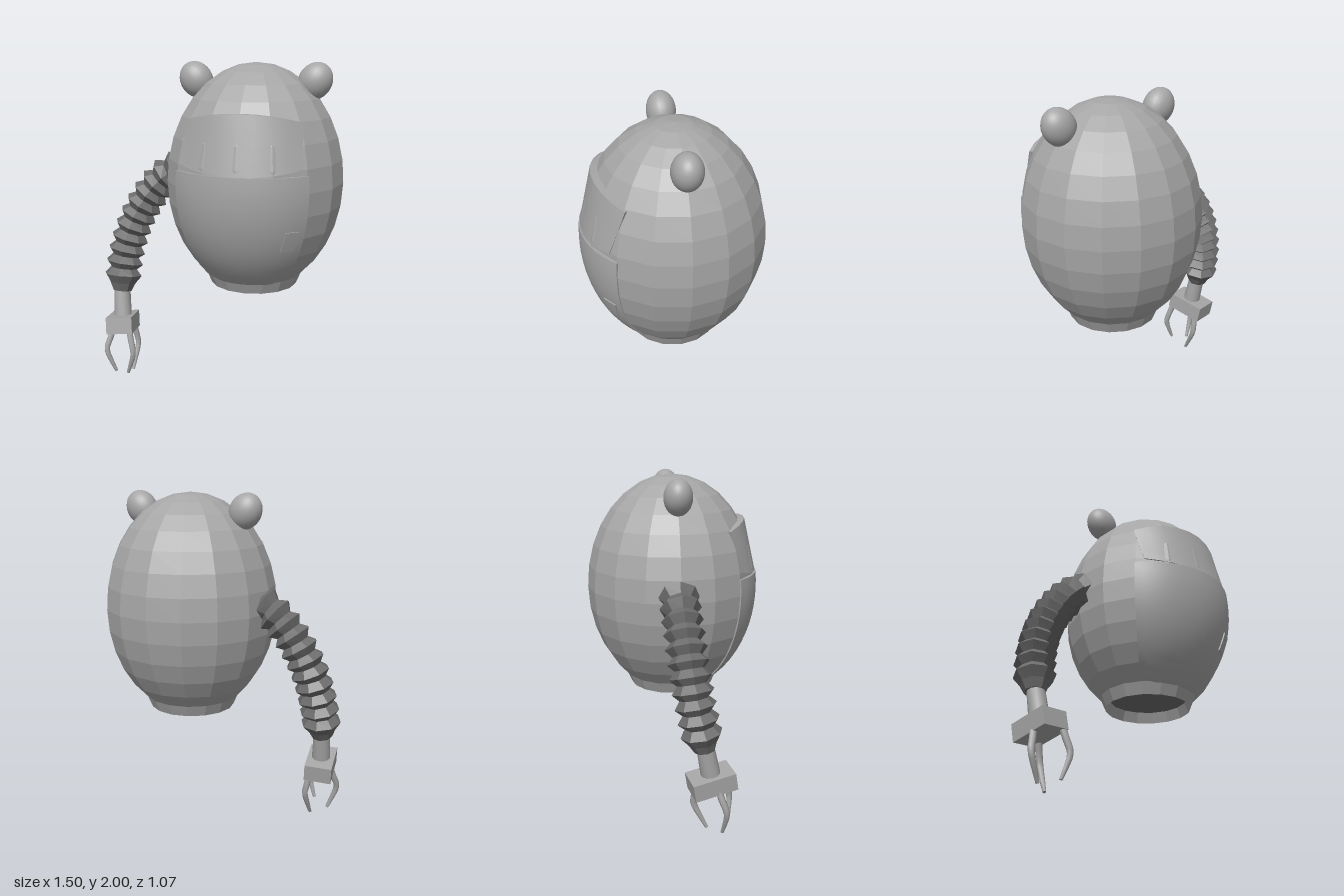
import * as THREE from 'three';
import { toCreasedNormals } from 'three/addons/utils/BufferGeometryUtils.js';

const CX = 0.215, CY = 1.31, R = 0.53, H = 0.69;
const shellRadius = (y) => R * Math.sqrt(Math.max(0, 1 - ((y - CY) / H) ** 2));
const rad = THREE.MathUtils.degToRad;
const V = (x, y, z) => new THREE.Vector3(x, y, z);

// Grid of points turned into a geometry; point(i, j) with i running around, j running up
function gridGeometry(nu, nv, point) {
  const pos = [], idx = [], w = nu + 1;
  for (let j = 0; j <= nv; j++)
    for (let i = 0; i <= nu; i++) pos.push(...point(i, j).toArray());
  for (let j = 0; j < nv; j++)
    for (let i = 0; i < nu; i++) {
      const a = j * w + i, b = a + 1, c = b + w, d = a + w;
      idx.push(a, b, d, b, c, d);
    }
  const g = new THREE.BufferGeometry();
  g.setAttribute('position', new THREE.Float32BufferAttribute(pos, 3));
  g.setIndex(idx);
  return g;
}

function faceted(g) {
  const f = g.toNonIndexed();
  f.computeVertexNormals();
  return f;
}

// Curved plate on the shell with a skirt around it; s runs -1..1 across, t 0..1 up
function plate(nu, nv, skirt, angle, height, radius) {
  const g = gridGeometry(nu + 2, nv + 2, (i, j) => {
    const s = THREE.MathUtils.clamp((i - 1) / nu, 0, 1) * 2 - 1;
    const t = THREE.MathUtils.clamp((j - 1) / nv, 0, 1);
    const edge = i === 0 || j === 0 || i === nu + 2 || j === nv + 2;
    const a = angle(s, t), y = height(s, t), r = radius(y, t) - (edge ? skirt : 0);
    return V(CX + r * Math.sin(a), y, r * Math.cos(a));
  });
  return toCreasedNormals(g, 0.5);
}

// Tube of changing radius along a curve; rings = [position 0..1, radius]
function loft(points, rings, sides) {
  const curve = new THREE.CatmullRomCurve3(points);
  const n = 200, frames = curve.computeFrenetFrames(n);
  return gridGeometry(sides, rings.length - 1, (i, j) => {
    const [u, r] = rings[j], k = Math.round(u * n), a = (i / sides) * Math.PI * 2;
    return curve.getPointAt(k / n)
      .addScaledVector(frames.normals[k], r * Math.cos(a))
      .addScaledVector(frames.binormals[k], r * Math.sin(a));
  });
}

export function createModel() {
  const model = new THREE.Group();
  model.name = 'eggRobot';
  const grey = new THREE.MeshStandardMaterial({ name: 'lightGrey', color: 0xa6a6a6 });
  const dark = new THREE.MeshStandardMaterial({ name: 'darkGrey', color: 0x6c6c6c });
  const add = (name, geometry, material, parent = model) => {
    const m = new THREE.Mesh(geometry, material);
    m.name = name;
    parent.add(m);
    return m;
  };

  // Egg-shaped shell, cut off below with a recessed socket
  const profile = [new THREE.Vector2(0.24, 0.73), new THREE.Vector2(0.265, 0.665)];
  for (let k = 13; k >= 0; k--) {
    const a = (k / 16) * Math.PI;
    profile.push(new THREE.Vector2(R * Math.sin(a), CY + H * Math.cos(a)));
  }
  add('bodyShell', faceted(new THREE.LatheGeometry(profile, 16)), grey).position.x = CX;
  const floor = add('bottomSocket', new THREE.CircleGeometry(0.242, 16), dark);
  floor.position.set(CX, 0.73, 0);
  floor.rotation.x = Math.PI / 2;

  // Visor with straight slope, front panel and small hatch
  add('visor', plate(8, 4, 0.04,
    (s, t) => s * rad(39 + 8 * t),
    (s, t) => THREE.MathUtils.lerp(1.41 + 0.03 * s * s, 1.74 - 0.05 * s * s, t),
    (y) => THREE.MathUtils.mapLinear(y, 1.41, 1.74, 0.526, 0.45)), grey);
  add('frontPanel', plate(16, 12, 0.04,
    (s) => s * rad(45.5),
    (s, t) => THREE.MathUtils.lerp(0.73 + 0.035 * Math.max(0, Math.abs(s) - 0.7) / 0.3, 1.41, t),
    (y) => shellRadius(y) + 0.007), grey);
  add('hatch', plate(2, 2, 0.02,
    (s, t) => rad(35.5 + s * 5 + (t - 0.5) * 2),
    (s, t) => 0.98 + 0.12 * t,
    (y) => shellRadius(y) + 0.015), grey);

  // Ears leaning outward
  for (const side of [-1, 1]) {
    const ear = add(side < 0 ? 'rightEar' : 'leftEar', new THREE.SphereGeometry(1, 24, 16), grey);
    ear.scale.set(0.098, 0.112, 0.085);
    ear.rotation.z = -side * 0.6;
    ear.position.set(0.205 + side * 0.355, 1.895, 0);
  }

  // Bellows arm ending in a cuff
  const arm = new THREE.Group();
  arm.name = 'rightArm';
  model.add(arm);
  const rings = [], ribs = 11;
  for (let k = 0; k < ribs; k++) {
    rings.push([(k / ribs) * 0.93, 0.085], [((k + 0.5) / ribs) * 0.93, 0.122]);
  }
  rings.push([0.945, 0.085], [1, 0.062], [1, 0]);
  add('bellows', faceted(loft([
    V(-0.25, 1.36, -0.01), V(-0.34, 1.31, -0.01), V(-0.43, 1.22, -0.005), V(-0.51, 1.1, 0.005),
    V(-0.57, 0.97, 0.02), V(-0.61, 0.83, 0.04), V(-0.63, 0.7, 0.065), V(-0.637, 0.55, 0.095),
  ], rings, 8)), dark, arm);

  // Wrist, palm block and three bent fingers
  add('wrist', toCreasedNormals(loft([V(-0.637, 0.6, 0.09), V(-0.628, 0.48, 0.115), V(-0.622, 0.37, 0.135)],
    [[0, 0.05], [1, 0.058]], 12), 0.6), grey, arm);
  const palm = add('palm', new THREE.BoxGeometry(0.165, 0.105, 0.255), grey, arm);
  palm.position.set(-0.622, 0.345, 0.137);
  palm.rotation.set(rad(-10), rad(10), rad(3), 'YXZ');
  const fingers = [
    [V(-0.675, 0.32, 0.17), V(-0.69, 0.25, 0.19), V(-0.707, 0.18, 0.215), V(-0.653, 0.025, 0.2)],
    [V(-0.58, 0.31, 0.055), V(-0.57, 0.25, 0.048), V(-0.557, 0.18, 0.042), V(-0.567, 0.01, 0.122)],
    [V(-0.54, 0.33, 0.235), V(-0.525, 0.27, 0.248), V(-0.507, 0.19, 0.265), V(-0.55, 0.05, 0.252)],
  ];
  for (const path of fingers) {
    add('finger', toCreasedNormals(loft(path,
      [[0, 0.02], [0.2, 0.02], [0.4, 0.019], [0.5, 0.018], [0.6, 0.017], [0.8, 0.014], [1, 0.01], [1, 0]], 8), 0.9),
    grey, arm);
  }
  return model;
}
